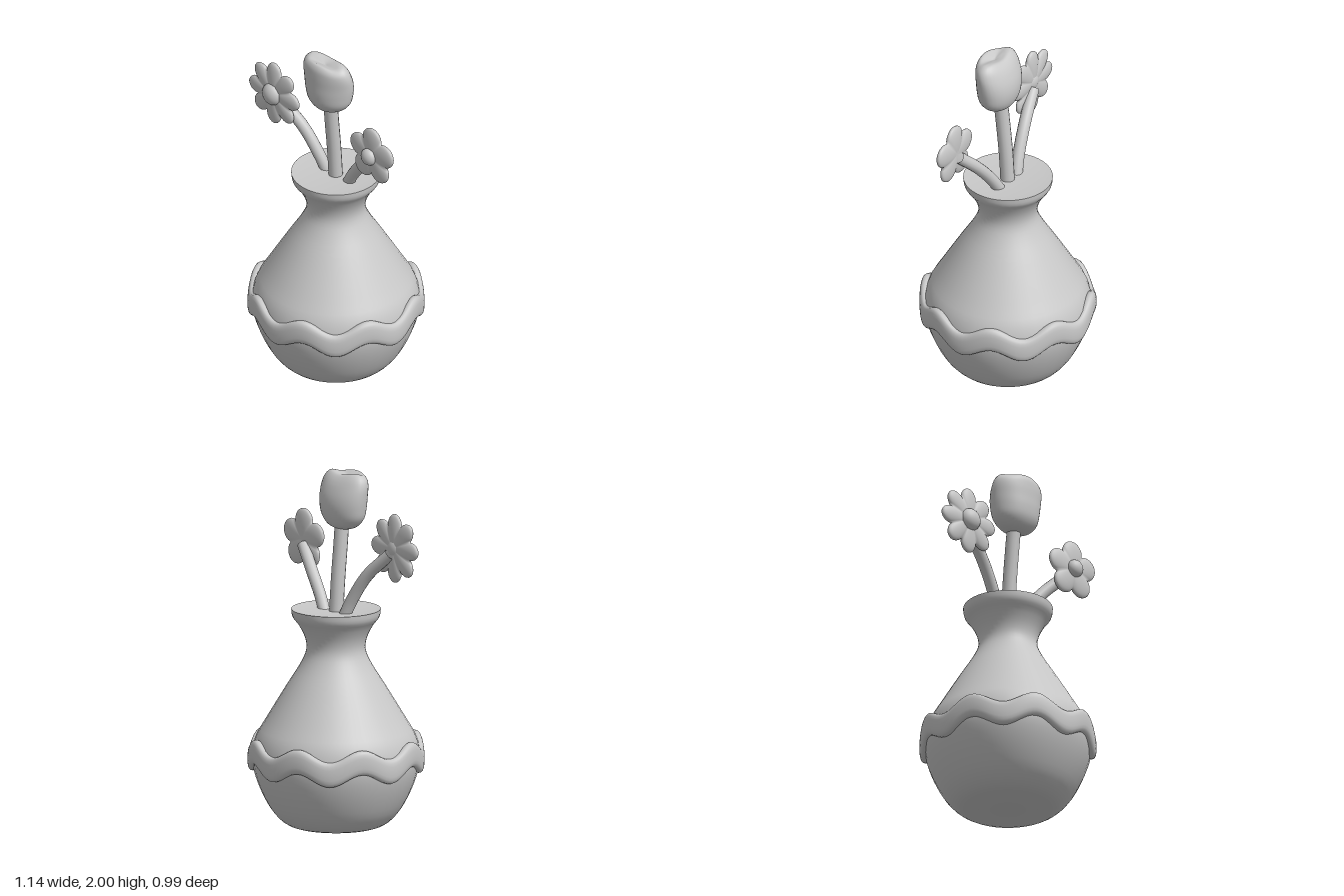
import * as THREE from 'three';
import { mergeVertices } from 'three/addons/utils/BufferGeometryUtils.js';

const clay = new THREE.MeshStandardMaterial({ color: 0xc8c8c8 });
clay.name = 'grey clay';

// Smooth surface closed around u (0..2PI), running along v (0..1)
function loft(nu, nv, point) {
  const pos = [], idx = [];
  for (let i = 0; i <= nv; i++)
    for (let j = 0; j < nu; j++) pos.push(...point((j / nu) * Math.PI * 2, i / nv));
  for (let i = 0; i < nv; i++)
    for (let j = 0; j < nu; j++) {
      const k = (j + 1) % nu, a = i * nu + j, b = i * nu + k, c = b + nu, d = a + nu;
      idx.push(a, b, c, a, c, d);
    }
  const g = new THREE.BufferGeometry();
  g.setAttribute('position', new THREE.Float32BufferAttribute(pos, 3));
  g.setIndex(idx);
  const merged = mergeVertices(g, 1e-5);
  merged.computeVertexNormals();
  return merged;
}

function add(parent, name, geometry) {
  const mesh = new THREE.Mesh(geometry, clay);
  mesh.name = name;
  parent.add(mesh);
  return mesh;
}

// Puffy flower head facing +z with a round centre
function flowerHead(name, petals, radius, depth, buttonRadius, x, y, z) {
  const head = new THREE.Group();
  head.name = name;
  add(head, 'petals', loft(petals * 12, 20, (t, v) => {
    const a = Math.PI * (v - 0.5), s = Math.cos(a);
    const lobe = Math.abs(Math.cos((petals * (t - Math.PI / 2)) / 2));
    const r = radius * (1 - depth + depth * Math.pow(lobe, 0.8)) * s;
    const thick = 0.032 * (1 - 0.35 * s * (1 - lobe)) * (1 - 0.35 * Math.pow(1 - s, 2));
    return [r * Math.cos(t), r * Math.sin(t), Math.sign(Math.sin(a)) * Math.pow(Math.abs(Math.sin(a)), 0.8) * thick];
  }));
  const button = add(head, 'flowerCentre', new THREE.SphereGeometry(buttonRadius, 24, 16));
  button.scale.z = 0.75;
  button.position.z = 0.065 - buttonRadius * 0.75;
  head.position.set(x, y, z);
  return head;
}

function stem(parent, name, points, radius) {
  const curve = new THREE.CatmullRomCurve3(points.map((p) => new THREE.Vector3(...p)));
  add(parent, name, new THREE.TubeGeometry(curve, 24, radius, 14));
}

export function createModel() {
  const model = new THREE.Group();
  model.name = 'vaseWithFlowers';

  // Vase body with flared neck
  const vase = new THREE.Group();
  vase.name = 'vase';
  vase.position.x = 0.012;
  model.add(vase);
  const profile = new THREE.SplineCurve([
    [0, 0], [0.14, 0.002], [0.26, 0.012], [0.345, 0.08], [0.41, 0.19], [0.455, 0.31], [0.468, 0.41],
    [0.447, 0.51], [0.39, 0.61], [0.275, 0.80], [0.2, 0.92], [0.166, 1.0], [0.172, 1.07],
    [0.205, 1.14], [0.242, 1.19], [0.25, 1.235],
  ].map((p) => new THREE.Vector2(Math.max(p[0], 0), p[1])));
  const pts = profile.getPoints(50);
  pts[0].x = 0;
  add(vase, 'body', new THREE.LatheGeometry(pts, 40));
  add(vase, 'mouth', new THREE.LatheGeometry(
    [[0.25, 1.235], [0.2, 1.228], [0.1, 1.222], [0, 1.22]].map((p) => new THREE.Vector2(...p)), 40));

  // Wavy band around the belly: rounded-box section swept with eight waves
  add(vase, 'wavyBand', loft(128, 20, (t, v) => {
    const p = Math.PI + v * Math.PI * 2;
    const round = (c) => Math.sign(c) * Math.pow(Math.abs(c), 0.75);
    const r = 0.463 + 0.03 * round(Math.cos(p));
    const y = 0.413 - 0.033 * Math.cos(8 * t) + 0.07 * round(Math.sin(p));
    return [r * Math.sin(t), y, r * Math.cos(t)];
  }));

  // Stems
  stem(model, 'middleStem', [[0.012, 1.18, 0.0], [0.012, 1.4, 0.015], [0.013, 1.6, 0.035], [0.015, 1.7, 0.045]], 0.04);
  stem(model, 'rightStem', [[-0.055, 1.18, -0.01], [-0.11, 1.3, 0.012], [-0.21, 1.45, 0.038], [-0.36, 1.59, 0.08]], 0.034);
  stem(model, 'leftStem', [[0.09, 1.18, -0.01], [0.16, 1.29, 0.01], [0.26, 1.41, 0.035], [0.385, 1.53, 0.08]], 0.034);

  // Open flowers
  model.add(flowerHead('eightPetalFlower', 8, 0.195, 0.3, 0.065, -0.375, 1.622, 0.1));
  model.add(flowerHead('fivePetalFlower', 5, 0.172, 0.32, 0.05, 0.4, 1.56, 0.1));

  // Tulip: rows of [y, half width, back z, front z]
  const rows = [
    [1.68, 0, 0.06, 0.06], [1.684, 0.05, 0.02, 0.1], [1.705, 0.1, -0.015, 0.135], [1.75, 0.14, -0.038, 0.162],
    [1.81, 0.156, -0.047, 0.172], [1.87, 0.164, -0.04, 0.173], [1.93, 0.165, -0.018, 0.173],
    [1.97, 0.152, 0.004, 0.168], [1.995, 0.12, 0.03, 0.15], [1.99, 0.07, 0.06, 0.125], [1.975, 0, 0.09, 0.09],
  ];
  const ringA = new THREE.CatmullRomCurve3(rows.map((q) => new THREE.Vector3(q[1], q[0], q[2])));
  const ringB = new THREE.CatmullRomCurve3(rows.map((q) => new THREE.Vector3(q[1], q[0], q[3])));
  add(model, 'tulip', loft(36, 40, (t, v) => {
    const a = ringA.getPoint(v), b = ringB.getPoint(v);
    const w = v === 0 || v === 1 ? 0 : Math.max(a.x, 0);
    // Slight point at the front and shallow lobes along the top edge
    const pinch = 1 - 0.06 * (w / 0.165) * Math.cos(t) * Math.sin(t) ** 2 * 2;
    const lobe = 0.007 * Math.cos(3 * t) * Math.max(0, (a.y - 1.93) / 0.07) * (w / 0.12);
    return [0.015 + w * Math.sin(t) * pinch, Math.min(a.y + lobe, 2),
      (a.z + b.z) / 2 + ((b.z - a.z) / 2) * Math.cos(t) * pinch];
  }));

  return model;
}
